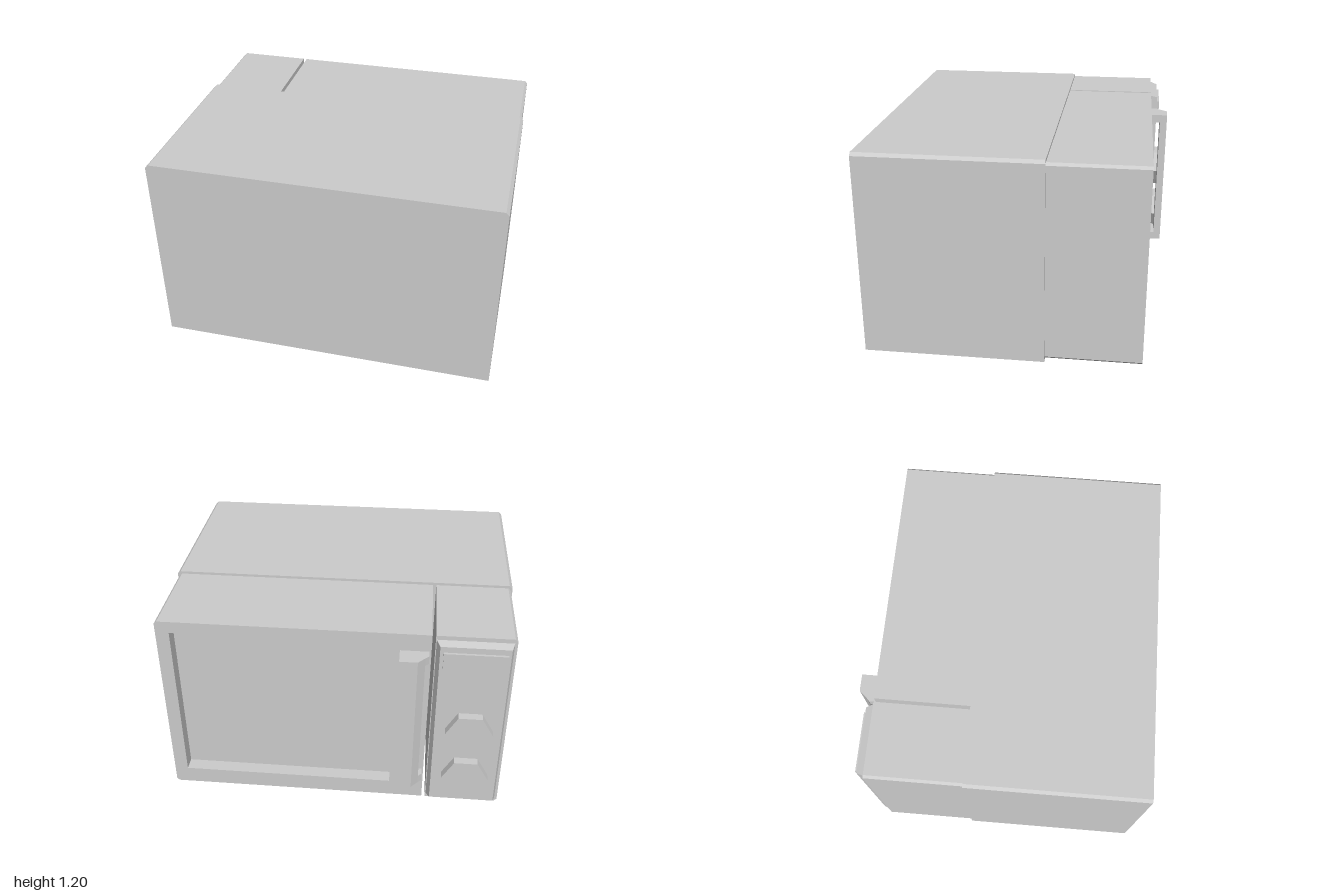
import * as THREE from 'three';

const material = new THREE.MeshStandardMaterial({ color: 0xcccccc, flatShading: true });

function add(parent, name, geometry) {
  const mesh = new THREE.Mesh(geometry, material);
  mesh.name = name;
  parent.add(mesh);
  return mesh;
}

function polygon(points) {
  return new THREE.Shape(points.map(([x, y]) => new THREE.Vector2(x, y)));
}

// Extrude an x-y outline between two z positions
function slab(shape, z0, z1) {
  return new THREE.ExtrudeGeometry(shape, { depth: z1 - z0, bevelEnabled: false }).translate(0, 0, z0);
}

// Extrude an x-z outline between two heights
function column(points, y0, y1) {
  const shape = polygon(points.map(([x, z]) => [x, -z]));
  return new THREE.ExtrudeGeometry(shape, { depth: y1 - y0, bevelEnabled: false })
    .rotateX(-Math.PI / 2).translate(0, y0, 0);
}

function box(x0, x1, y0, y1, z0, z1) {
  return new THREE.BoxGeometry(x1 - x0, y1 - y0, z1 - z0)
    .translate((x0 + x1) / 2, (y0 + y1) / 2, (z0 + z1) / 2);
}

export function createModel() {
  const group = new THREE.Group();
  group.name = 'microwaveOven';

  // Main casing with clipped top corners
  const c = 0.018;
  add(group, 'casing', slab(polygon([
    [-1, 0], [1, 0], [1, 1.2 - c], [1 - c, 1.2], [-1 + c, 1.2], [-1, 1.2 - c],
  ]), -0.19, 0.85));

  // Door: solid rear part and a frame around the recessed window
  const y0 = 0.015, y1 = 1.185, e = 0.015;
  const doorOutline = () => polygon([
    [-0.535, y0], [0.99 - e, y0], [0.99, y0 + e], [0.99, y1 - e], [0.99 - e, y1], [-0.535, y1],
  ]);
  const door = new THREE.Group();
  door.name = 'door';
  group.add(door);
  add(door, 'doorWindow', slab(doorOutline(), -0.66, -0.19));
  const frame = doorOutline();
  frame.holes.push(polygon([[-0.335, 0.12], [-0.335, 1.115], [0.912, 1.115], [0.912, 0.12]]));
  add(door, 'doorFrame', slab(frame, -0.74, -0.66));

  // Handle: bevelled grip on two posts
  const handle = new THREE.Group();
  handle.name = 'handle';
  door.add(handle);
  add(handle, 'grip', column([
    [-0.365, -0.805], [-0.505, -0.805], [-0.465, -0.85], [-0.365, -0.85],
  ], 0.185, 1.08));
  for (const [bottom, top] of [[0.185, 0.235], [1.03, 1.08]]) {
    add(handle, 'handlePost', column([
      [-0.365, -0.74], [-0.525, -0.74], [-0.525, -0.785], [-0.505, -0.805], [-0.365, -0.805],
    ], bottom, top));
  }

  // Control section beside the door
  const controls = new THREE.Group();
  controls.name = 'controls';
  group.add(controls);
  add(controls, 'controlHousing', slab(polygon([
    [-0.99 + e, y0], [-0.555, y0], [-0.555, y1], [-0.99 + e, y1], [-0.99, y1 - e], [-0.99, y0 + e],
  ]), -0.74, -0.19));

  // Raised control panel, narrowed towards its outer face
  const panel = box(-0.975, -0.56, 0.04, 1.16, -0.785, -0.74);
  const p = panel.attributes.position;
  for (let i = 0; i < p.count; i++) {
    if (p.getZ(i) > -0.76) continue;
    p.setX(i, p.getX(i) < -0.77 ? -0.96 : -0.58);
    p.setY(i, p.getY(i) < 0.6 ? 0.055 : 1.145);
  }
  panel.computeVertexNormals();
  add(controls, 'controlPanel', panel);

  add(controls, 'display', box(-0.945, -0.6, 0.98, 1.11, -0.8, -0.785));

  // Six-sided knobs, points to the sides
  for (const y of [0.262, 0.59]) {
    add(controls, 'knob', new THREE.CylinderGeometry(0.135, 0.135, 0.05, 6)
      .rotateY(Math.PI / 2).rotateX(Math.PI / 2).translate(-0.775, y, -0.81));
  }

  return group;
}
